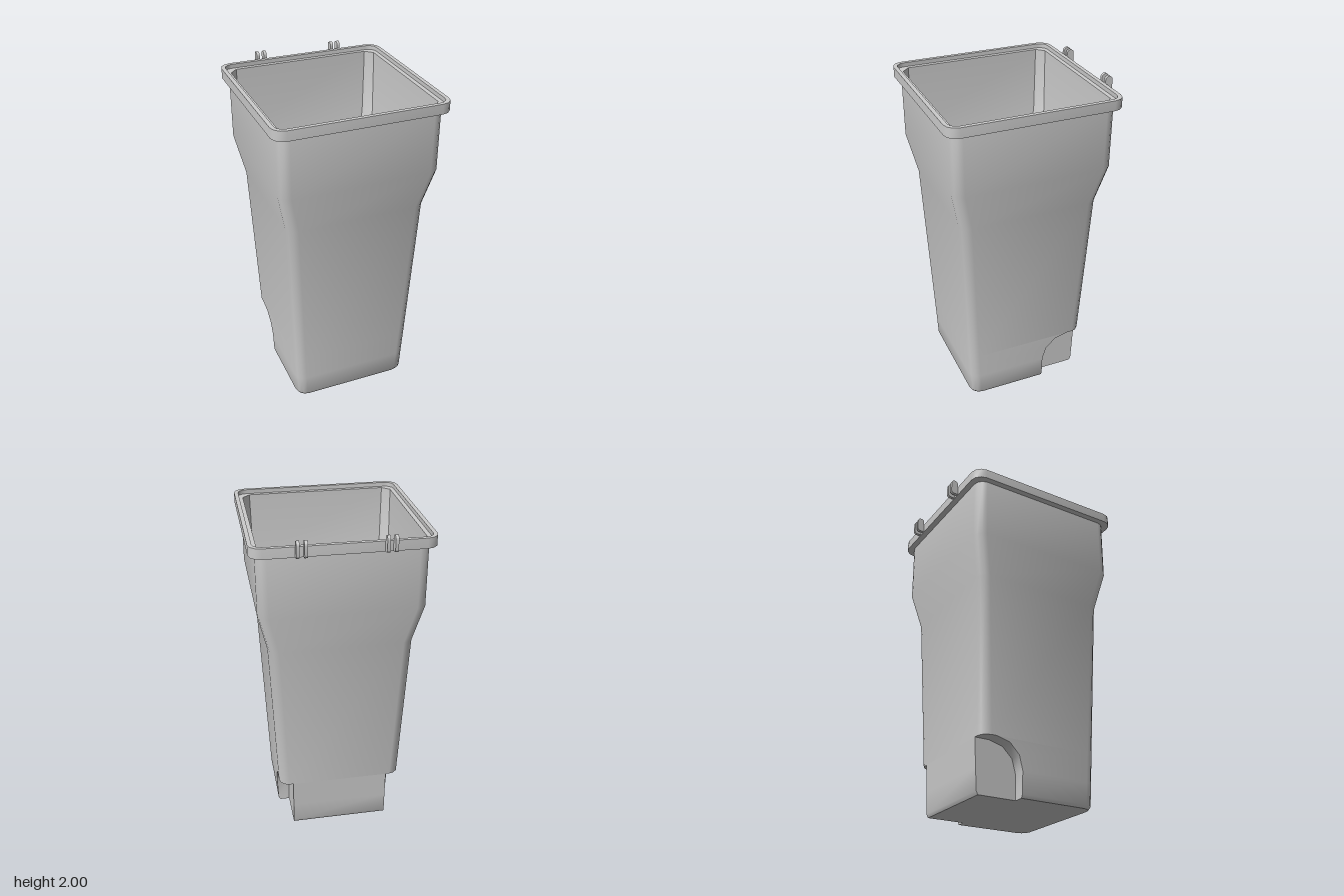
import * as THREE from 'three';
import { toCreasedNormals } from 'three/addons/utils/BufferGeometryUtils.js';

const CZ = 0.02; // the body sits slightly forward of the hinges
const STEPS = 3; // segments per corner

// Half width of the tapered lower wall at height y
const taper = (y) => 0.368 + (y - 0.02) * (0.056 / 1.27);

// Square cross-section with rounded (or chamfered) corners.
// A notch { x, z } cuts the two back corners away to make the wheel wells.
function ring({ y, h, r = 0.06, chamfer = false, notch = null }) {
  const pts = [];
  for (let c = 0; c < 4; c++) {
    const sx = c < 2 ? 1 : -1;
    const sz = c === 0 || c === 3 ? 1 : -1;
    for (let k = 0; k <= STEPS; k++) {
      if (notch && sz < 0) {
        const i = c === 1 ? k : STEPS - k;
        pts.push([sx * (i === 0 ? h : notch.x), y, i < 2 ? notch.z : CZ - h]);
        continue;
      }
      let u, v;
      if (chamfer) {
        const t = c % 2 ? 1 - k / STEPS : k / STEPS;
        u = t;
        v = 1 - t;
      } else {
        const a = ((c + k / STEPS) * Math.PI) / 2;
        u = Math.abs(Math.sin(a));
        v = Math.abs(Math.cos(a));
      }
      pts.push([sx * (h - r + r * u), y, CZ + sz * (h - r + r * v)]);
    }
  }
  return pts;
}

// Skin a list of closed rings, leaving out collapsed triangles
function loft(rings) {
  const pos = [];
  const V = (p) => new THREE.Vector3(...p);
  const tri = (a, b, c) => {
    const n = V(b).sub(V(a)).cross(V(c).sub(V(a)));
    if (n.length() > 1e-8) pos.push(...a, ...b, ...c);
  };
  for (let i = 0; i < rings.length - 1; i++) {
    const lo = rings[i], hi = rings[i + 1];
    for (let j = 0; j < lo.length; j++) {
      const n = (j + 1) % lo.length;
      tri(lo[j], lo[n], hi[n]);
      tri(lo[j], hi[n], hi[j]);
    }
  }
  const g = new THREE.BufferGeometry();
  g.setAttribute('position', new THREE.Float32BufferAttribute(pos, 3));
  return toCreasedNormals(g, 0.7);
}

// Rings of the wheel-well arch from the bottom up, ending on a full section
function archRings(x, radius, inset, chamfer) {
  const rings = [];
  for (let k = 0; k <= 3; k++) {
    const a = (k / 3) * (Math.PI / 2);
    const y = 0.15 + radius * Math.sin(a);
    const z = -0.27 + radius * Math.cos(a);
    rings.push({ y, h: taper(y) - inset, chamfer, notch: { x, z } });
  }
  const y = 0.15 + radius;
  rings.push({ y, h: taper(y) - inset, chamfer });
  return rings;
}

export function createModel() {
  const model = new THREE.Group();
  const material = new THREE.MeshStandardMaterial({ color: 0xcccccc });

  const add = (name, geometry, parent = model) => {
    const mesh = new THREE.Mesh(geometry, material);
    mesh.name = name;
    parent.add(mesh);
    return mesh;
  };

  // Hollow body: up the outside, over the rim, down the inside to the floor
  const outerNotch = { x: 0.298, z: -0.1 };
  const innerNotch = { x: 0.287, z: -0.09 };
  const sections = [
    // underside and outer wall
    { y: 0, h: 0.357, notch: outerNotch },
    { y: 0.02, h: 0.368, notch: outerNotch },
    ...archRings(outerNotch.x, 0.17, 0, false),
    { y: 1.29, h: 0.424 },
    { y: 1.53, h: 0.478 },
    { y: 1.9, h: 0.479 },
    // rim with a stepped ledge
    { y: 1.9, h: 0.515, r: 0.07 },
    { y: 1.96, h: 0.515, r: 0.07 },
    { y: 1.96, h: 0.491, r: 0.05 },
    { y: 1.935, h: 0.491, r: 0.05 },
    // inner wall and floor
    { y: 1.935, h: 0.465, r: 0.045, chamfer: true },
    { y: 1.53, h: 0.464, r: 0.05, chamfer: true },
    { y: 1.29, h: 0.41, chamfer: true },
    ...archRings(innerNotch.x, 0.18, 0.014, true).reverse(),
    { y: 0.02, h: 0.354, chamfer: true, notch: innerNotch },
  ].map(ring);
  const centre = (y) => sections[0].map(() => [0, y, CZ]);
  add('binBody', loft([centre(0), ...sections, centre(0.02)]));

  // Hinge lugs: two pairs of round-topped plates behind the rim
  const width = 0.018;
  const profile = new THREE.Shape();
  profile.moveTo(0.49, 1.904);
  profile.lineTo(0.518, 1.904);
  profile.quadraticCurveTo(0.539, 1.906, 0.539, 1.925);
  profile.lineTo(0.539, 1.978);
  profile.absarc(0.517, 1.978, 0.022, 0, Math.PI, false);
  profile.lineTo(0.495, 1.96);
  profile.lineTo(0.49, 1.96);
  profile.closePath();
  const lug = new THREE.ExtrudeGeometry(profile, { depth: width, bevelEnabled: false, curveSegments: 8 });
  lug.translate(0, 0, -width / 2);
  lug.rotateY(Math.PI / 2); // profile x now points backwards
  const lugGeometry = toCreasedNormals(lug, 0.7);
  for (const side of [1, -1]) {
    const hinge = new THREE.Group();
    hinge.name = side > 0 ? 'leftHinge' : 'rightHinge';
    for (const offset of [-0.022, 0.022]) {
      add('hingeLug', lugGeometry, hinge).position.x = side * 0.241 + offset;
    }
    model.add(hinge);
  }

  return model;
}
